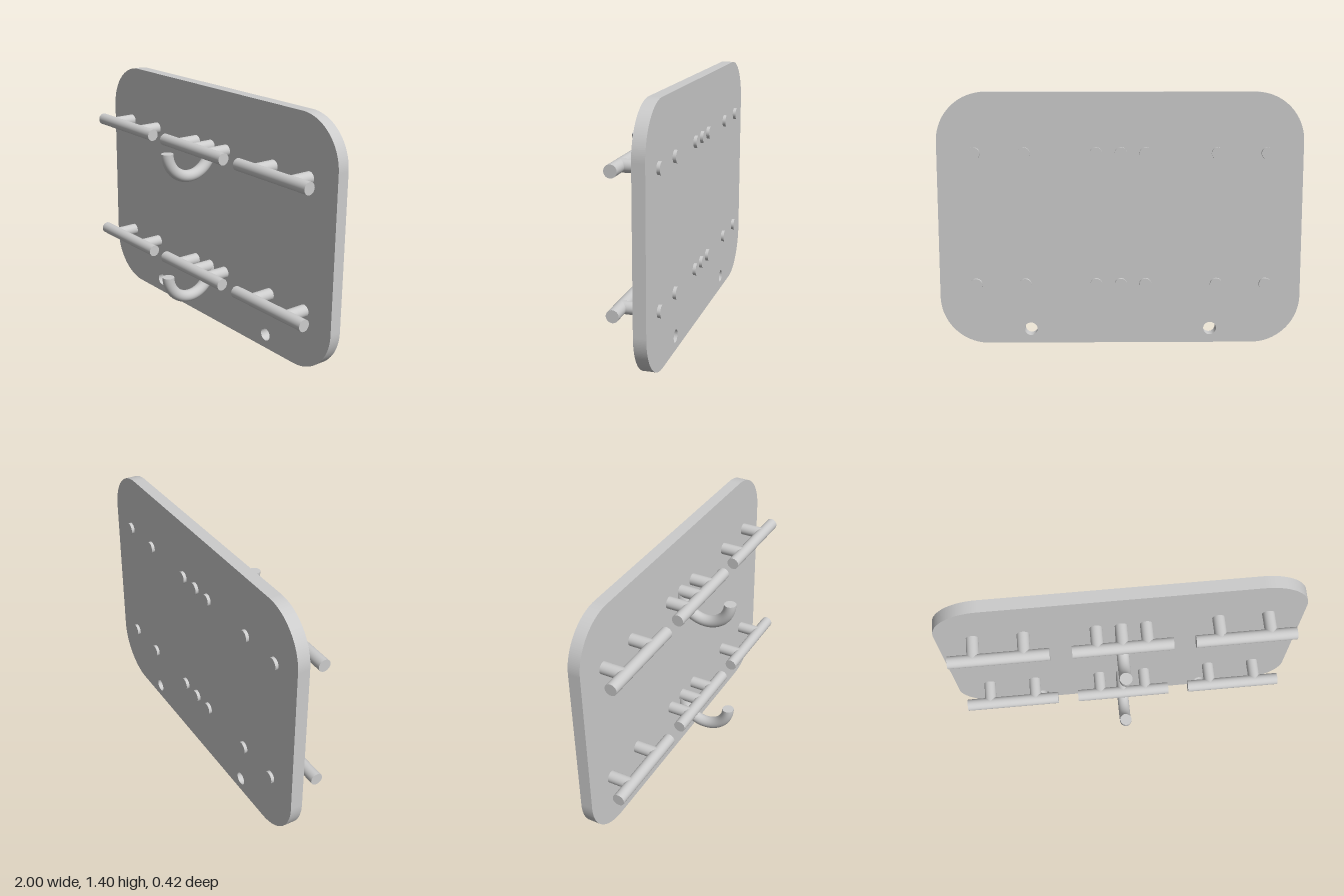
import * as THREE from 'three';

const ROD = 0.034; // shared rod radius
const BACK = -0.212; // rear end of the pegs
const AXIS_Z = 0.002; // depth of the bars

export function createModel() {
  const model = new THREE.Group();
  const material = new THREE.MeshStandardMaterial({ color: 0xcccccc });

  const add = (name, geometry, x, y, z, parent = model) => {
    const mesh = new THREE.Mesh(geometry, material);
    mesh.name = name;
    mesh.position.set(x, y, z);
    parent.add(mesh);
    return mesh;
  };

  // Back plate: rounded rectangle with two mounting holes
  const h = 1.396, r = 0.267;
  const outline = new THREE.Shape();
  outline.absarc(1 - r, r, r, -Math.PI / 2, 0);
  outline.absarc(1 - r, h - r, r, 0, Math.PI / 2);
  outline.absarc(r - 1, h - r, r, Math.PI / 2, Math.PI);
  outline.absarc(r - 1, r, r, Math.PI, Math.PI * 1.5);
  outline.closePath();
  for (const x of [-0.5, 0.5]) {
    outline.holes.push(new THREE.Path().absarc(x, 0.08, 0.036, 0, Math.PI * 2, true));
  }
  const plate = new THREE.ExtrudeGeometry(outline, { depth: 0.068, bevelEnabled: false, curveSegments: 24 });
  add('backPlate', plate, 0, 0, -0.194);

  // Rod geometries
  const bar = new THREE.CylinderGeometry(ROD, ROD, 0.545, 40).rotateZ(Math.PI / 2);
  const pegLength = AXIS_Z - BACK;
  const peg = new THREE.CylinderGeometry(ROD, ROD, pegLength, 40).rotateX(Math.PI / 2);

  // Hook: lower half ring in the side plane, with flat capped ends
  const hookRadius = 0.15;
  const hook = new THREE.TorusGeometry(hookRadius, ROD, 32, 48, Math.PI)
    .rotateZ(Math.PI).rotateY(Math.PI / 2);
  const cap = new THREE.CircleGeometry(ROD, 32).rotateX(-Math.PI / 2);

  // Two rows of three bars, the middle one carrying a hook
  for (const [row, y] of [['lower', 0.335], ['upper', 1.064]]) {
    const rack = new THREE.Group();
    rack.name = `${row}Rack`;
    rack.position.y = y;
    model.add(rack);

    for (const x of [-0.667, -0.002, 0.663]) {
      add('bar', bar, x, 0, AXIS_Z, rack);
      for (const side of [-1, 1]) {
        add('barPeg', peg, x + side * 0.136, 0, BACK + pegLength / 2, rack);
      }
    }

    add('hookPeg', peg, -0.002, 0, BACK + pegLength / 2, rack);
    const hookGroup = new THREE.Group();
    hookGroup.name = 'hook';
    hookGroup.position.set(-0.002, 0, 0.028);
    rack.add(hookGroup);
    add('hookCurve', hook, 0, 0, 0, hookGroup);
    for (const side of [-1, 1]) add('hookEnd', cap, 0, 0, side * hookRadius, hookGroup);
  }

  return model;
}
